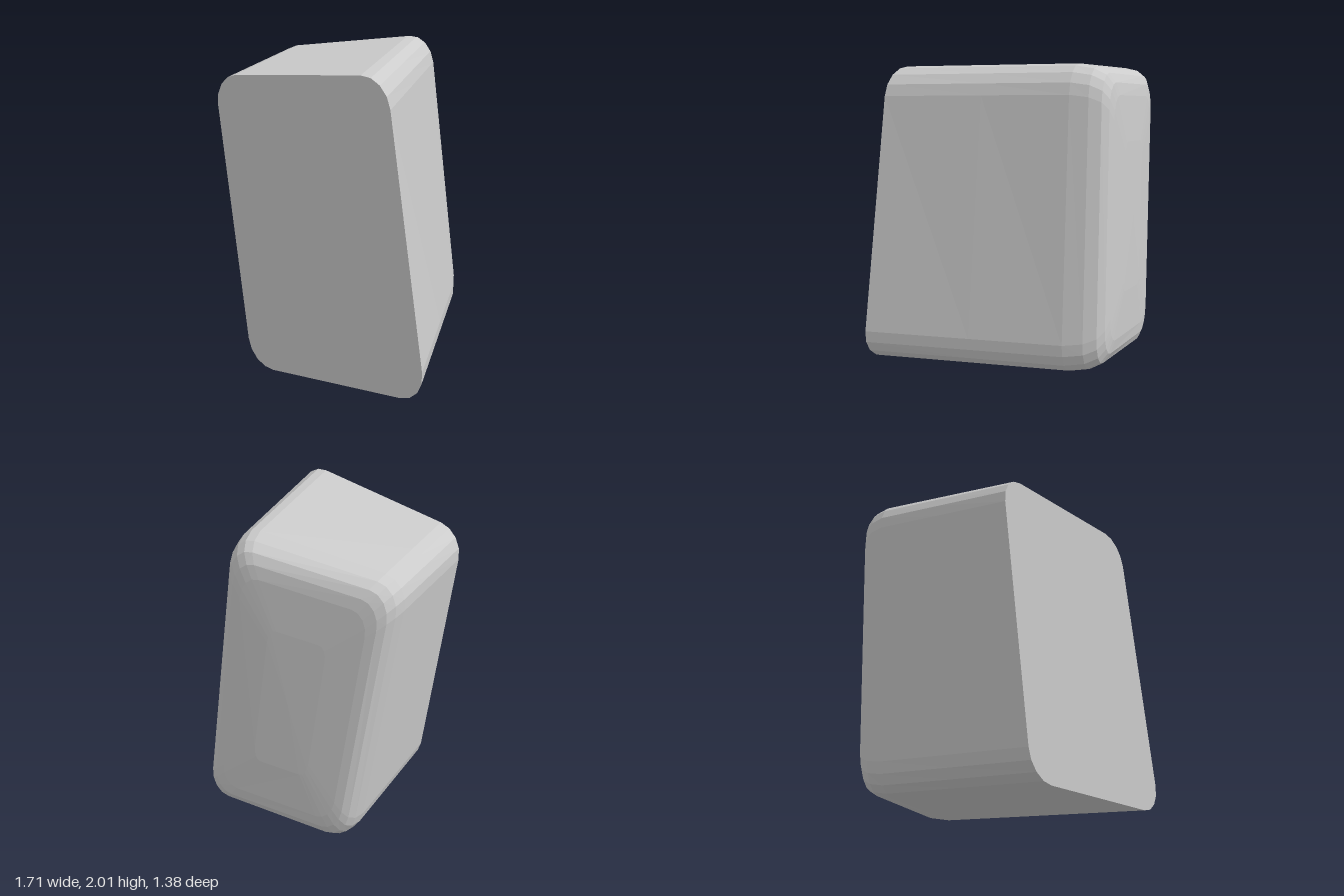
import * as THREE from 'three';

// Corners of the leaning block, in order: bottom left, bottom right, top right, top left (seen from the front)
const FRONT = [[-0.445, -0.02, 0.69], [0.885, 0.11, 0.69], [0.6, 1.97, 0.69], [-0.675, 1.84, 0.69]];
const BACK = [[-0.71, 0.06, -0.42], [0.24, 0.16, -0.74], [0.07, 2.04, -0.62], [-0.91, 1.9, -0.28]];

// Rounded rectangle in u, v from -1 to 1, counter-clockwise
function roundedOutline(ru, rv, steps) {
  const points = [];
  [[1, -1, -0.5], [1, 1, 0], [-1, 1, 0.5], [-1, -1, 1]].forEach(([su, sv, start]) => {
    for (let i = 0; i <= steps; i++) {
      const a = Math.PI * (start + 0.5 * i / steps);
      points.push([su * (1 - ru) + ru * Math.cos(a), sv * (1 - rv) + rv * Math.sin(a)]);
    }
  });
  return points;
}

// Place u, v and depth t (0 front, 1 back) inside the leaning block
function place(u, v, t) {
  const weights = [(1 - u) * (1 - v), (1 + u) * (1 - v), (1 + u) * (1 + v), (1 - u) * (1 + v)];
  const p = [0, 0, 0];
  weights.forEach((w, c) => {
    for (let k = 0; k < 3; k++) p[k] += w / 4 * (FRONT[c][k] * (1 - t) + BACK[c][k] * t);
  });
  return p;
}

export function createModel() {
  const group = new THREE.Group();
  group.name = 'leaningBlock';
  const material = new THREE.MeshStandardMaterial({ color: 0xcccccc, flatShading: true });
  const outline = roundedOutline(0.27, 0.2, 4);
  const n = outline.length;

  // Sides and softly rounded back: rings of [depth, inset]
  const rings = [[0, 0], [0.45, 0], [0.84, 0], [0.92, 0.02], [0.97, 0.06], [0.995, 0.12], [1.005, 0.2], [1.015, 0.5]];
  const positions = [];
  const index = [];
  rings.forEach(([t, inset], k) => {
    outline.forEach(([u, v], i) => {
      positions.push(...place(u * (1 - 1.3 * inset), v * (1 - inset), t));
      if (k === 0) return;
      const j = (i + 1) % n, a = (k - 1) * n + i, b = (k - 1) * n + j, c = k * n + i, d = k * n + j;
      index.push(a, c, b, b, c, d);
    });
  });
  const last = (rings.length - 1) * n;
  const centre = rings.length * n;
  positions.push(...place(0, 0, 1.018));
  for (let i = 0; i < n; i++) index.push(last + i, centre, last + (i + 1) % n);
  const shell = new THREE.BufferGeometry();
  shell.setAttribute('position', new THREE.Float32BufferAttribute(positions, 3));
  shell.setIndex(index);
  shell.computeVertexNormals();
  const body = new THREE.Mesh(shell, material);
  body.name = 'roundedBody';
  group.add(body);

  // Flat cut front
  const shape = new THREE.Shape(outline.map(([u, v]) => {
    const p = place(u, v, 0);
    return new THREE.Vector2(p[0], p[1]);
  }));
  const face = new THREE.Mesh(new THREE.ShapeGeometry(shape), material);
  face.name = 'frontFace';
  face.position.z = 0.69;
  group.add(face);
  return group;
}
